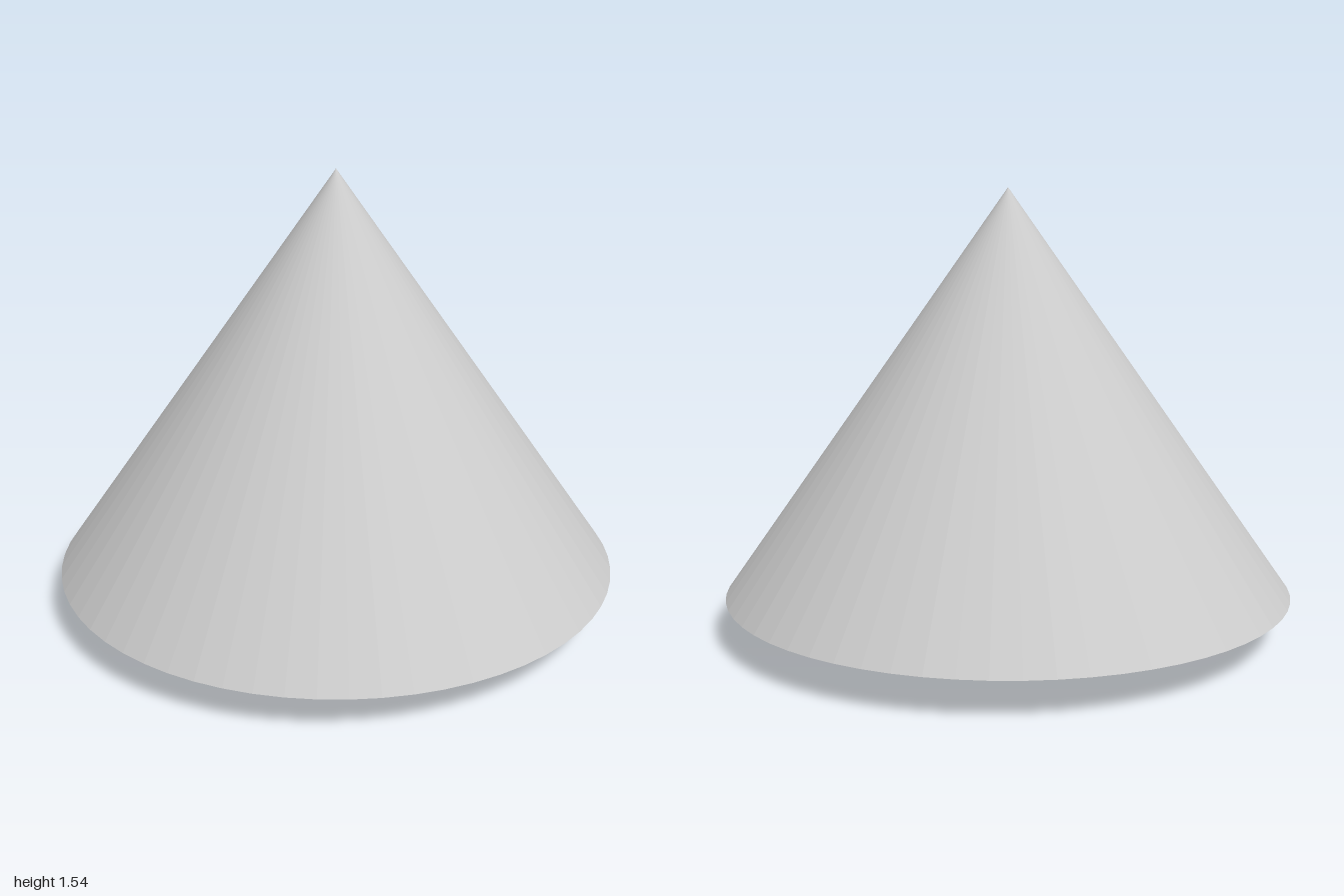
import * as THREE from 'three';

const SIDES = 64;
const BASE_Y = 0.13;
const APEX_Y = 1.545;

export function createModel() {
  const model = new THREE.Group();
  model.name = 'steppedCone';
  const material = new THREE.MeshStandardMaterial({ color: 0xcccccc, flatShading: true });

  // Main cone with a closed underside
  const height = APEX_Y - BASE_Y;
  const cone = new THREE.Mesh(new THREE.ConeGeometry(1, height, SIDES), material);
  cone.name = 'cone';
  cone.position.y = BASE_Y + height / 2;
  model.add(cone);

  // Shallow stepped dome below: [radius, bottom height] of each disc, top to bottom
  const steps = [
    [0.882, 0.112], [0.82, 0.093], [0.745, 0.076], [0.675, 0.06], [0.578, 0.043],
    [0.465, 0.028], [0.355, 0.014], [0.21, 0.006], [0.133, 0],
  ];
  const underside = new THREE.Group();
  underside.name = 'steppedUnderside';
  let top = BASE_Y;
  steps.forEach(([radius, bottom], i) => {
    const disc = new THREE.Mesh(
      new THREE.CylinderGeometry(radius, radius, top - bottom, SIDES), material);
    disc.name = `stepDisc${i + 1}`;
    disc.position.y = (top + bottom) / 2;
    underside.add(disc);
    top = bottom;
  });
  model.add(underside);

  return model;
}
